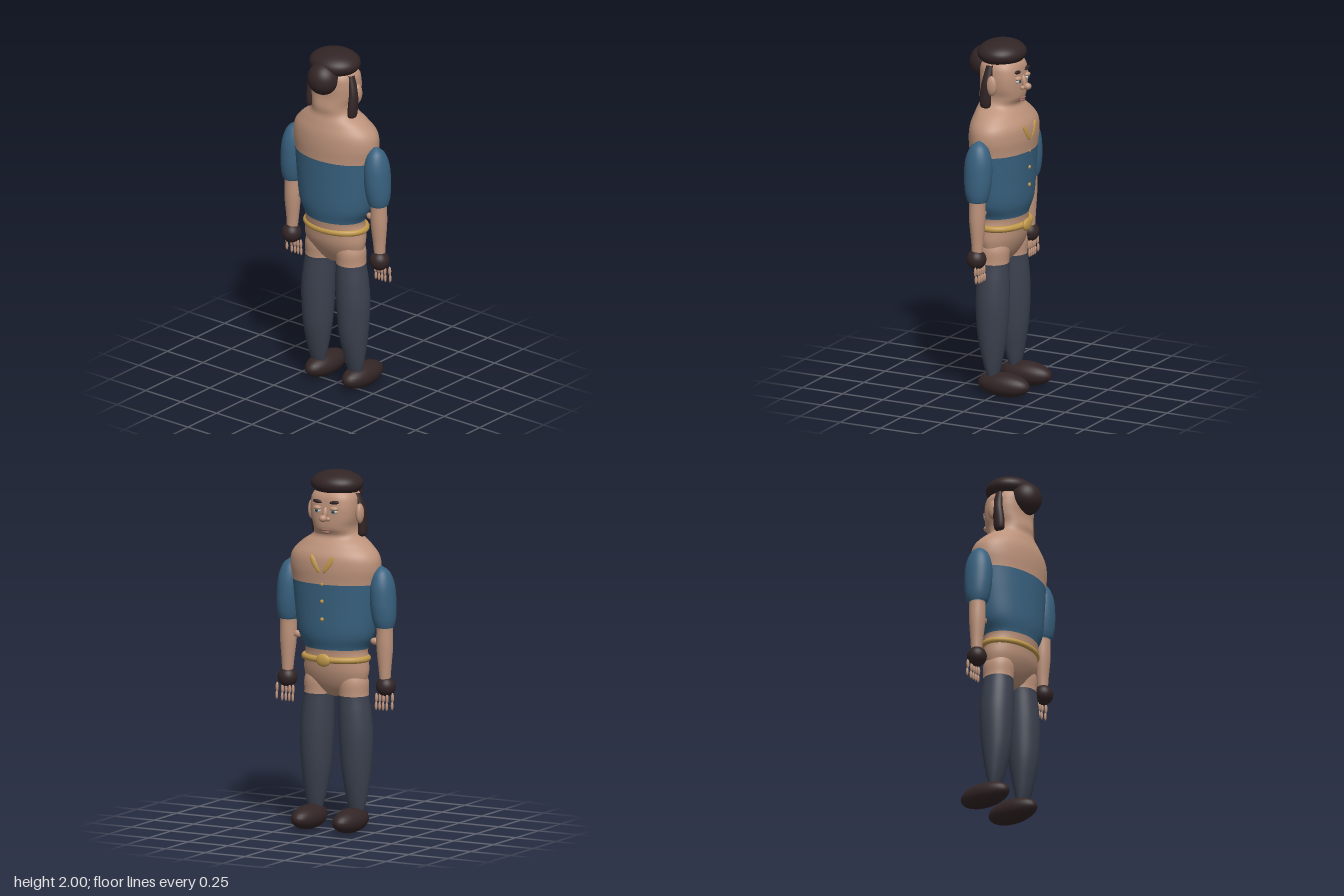
import * as THREE from 'three';

const mat = (name, color) => {
  const m = new THREE.MeshStandardMaterial({ color });
  m.name = name;
  return m;
};
const skin = mat('skin', 0xbd937b);
const shirt = mat('shirt blue', 0x38617f);
const trousers = mat('trouser grey', 0x3b414f);
const dark = mat('dark brown', 0x332526);
const gold = mat('gold', 0xc0984a);
const eyeWhite = mat('eye white', 0xd9d4cc);
const iris = mat('iris', 0x2f5d6b);
const lip = mat('lip', 0x96695c);

// Smooth body through oval rings [y, cx, cz, rx, rz, squareness], bottom to top.
// mats[i] colours the segment above ring i.
function loft(name, rings, mats, sides = 48, steps = 6) {
  const n = rings.length, pos = [], idx = [], rows = (n - 1) * steps + 1;
  const ring = (i) => rings[Math.min(Math.max(i, 0), n - 1)];
  const spline = (a, b, c, d, t) =>
    b + 0.5 * t * (c - a + t * (2 * a - 5 * b + 4 * c - d + t * (3 * (b - c) + d - a)));
  const bend = (v, p) => Math.sign(v) * Math.abs(v) ** (2 / p);
  for (let r = 0; r < rows; r++) {
    const s = Math.min(Math.floor(r / steps), n - 2), t = r / steps - s;
    const [y, cx, cz, rx, rz, p] = [0, 1, 2, 3, 4, 5].map((k) => {
      const v = (i) => ring(i)[k] ?? 2;
      return spline(v(s - 1), v(s), v(s + 1), v(s + 2), t);
    });
    for (let j = 0; j < sides; j++) {
      const a = (j / sides) * Math.PI * 2;
      pos.push(cx + Math.max(rx, 0.0005) * bend(Math.cos(a), p), y,
        cz + Math.max(rz, 0.0005) * bend(Math.sin(a), p));
    }
  }
  for (let r = 0; r < rows - 1; r++) {
    for (let j = 0; j < sides; j++) {
      const a = r * sides + j, b = r * sides + ((j + 1) % sides);
      idx.push(a, a + sides, b, b, a + sides, b + sides);
    }
  }
  const g = new THREE.BufferGeometry();
  g.setAttribute('position', new THREE.Float32BufferAttribute(pos, 3));
  g.setIndex(idx);
  g.computeVertexNormals();
  const list = [...new Set(mats)], size = sides * 6 * steps;
  mats.forEach((m, i) => g.addGroup(i * size, size, list.indexOf(m)));
  const mesh = new THREE.Mesh(g, list);
  mesh.name = name;
  return mesh;
}

// Ellipsoid with centre, radii and optional tilt
function blob(name, m, c, r, rot = [0, 0, 0], seg = 32) {
  const mesh = new THREE.Mesh(new THREE.SphereGeometry(1, seg, seg / 2), m);
  mesh.position.set(...c);
  mesh.scale.set(...r);
  mesh.rotation.set(...rot);
  mesh.name = name;
  return mesh;
}
const fill = (m, count) => new Array(count).fill(m);

function createBody() {
  const rings = [
    [0.738, 0, 0.018, 0.005, 0.005],
    [0.755, 0, 0.018, 0.07, 0.045],
    [0.81, 0, 0.018, 0.165, 0.085],
    [0.88, 0, 0.02, 0.193, 0.115],
    [0.95, 0, 0.02, 0.19, 0.126],
    [1.015, 0, 0.022, 0.184, 0.134],
    [1.1, 0, 0.018, 0.225, 0.153],
    [1.25, 0, 0.016, 0.246, 0.159],
    [1.385, 0, 0.014, 0.259, 0.163],
    [1.47, 0, 0.012, 0.272, 0.167],
    [1.54, 0, 0.013, 0.259, 0.16],
    [1.6, 0, 0.022, 0.203, 0.134],
    [1.645, 0, 0.029, 0.137, 0.113, 2.2],
    [1.69, 0, 0.02, 0.12, 0.123, 2.4],
    [1.75, 0, 0.013, 0.132, 0.119, 2.6],
    [1.82, 0, 0.014, 0.136, 0.118, 2.6],
    [1.88, 0, 0.018, 0.122, 0.108, 2.4],
    [1.94, 0, 0.022, 0.05, 0.05],
  ];
  return loft('torsoAndHead', rings, [...fill(skin, 5), ...fill(shirt, 3), ...fill(skin, 9)], 64);
}

function createLimbs(s) {
  const g = new THREE.Group();
  g.name = s > 0 ? 'leftLimbs' : 'rightLimbs';
  g.add(loft('leg', [
    [0.1, s * 0.13, 0.01, 0.04, 0.027],
    [0.19, s * 0.129, 0.014, 0.061, 0.052],
    [0.34, s * 0.126, 0.018, 0.083, 0.081],
    [0.52, s * 0.124, 0.018, 0.094, 0.093],
    [0.65, s * 0.117, 0.018, 0.091, 0.091],
    [0.755, s * 0.108, 0.018, 0.084, 0.084],
    [0.84, s * 0.103, 0.019, 0.086, 0.086],
    [0.93, s * 0.09, 0.02, 0.06, 0.06],
  ], [...fill(trousers, 5), ...fill(skin, 2)]));
  g.add(blob('shoe', dark, [s * 0.13, 0.068, -0.055], [0.075, 0.068, 0.157]));
  // Sleeve and forearm
  g.add(loft('arm', [
    [0.85, s * 0.308, 0.016, 0.03, 0.03],
    [0.92, s * 0.306, 0.016, 0.036, 0.034],
    [1.04, s * 0.304, 0.018, 0.047, 0.044],
    [1.147, s * 0.303, 0.018, 0.046, 0.046],
    [1.152, s * 0.302, 0.018, 0.053, 0.056],
    [1.2, s * 0.3, 0.018, 0.065, 0.07],
    [1.28, s * 0.295, 0.018, 0.071, 0.079],
    [1.38, s * 0.29, 0.018, 0.067, 0.075],
    [1.455, s * 0.285, 0.018, 0.045, 0.047],
    [1.49, s * 0.283, 0.018, 0.001, 0.001],
  ], [...fill(skin, 3), ...fill(shirt, 6)]));
  g.add(blob('elbowBump', skin, [s * 0.243, 1.065, 0.015], [0.026, 0.02, 0.018]));
  g.add(blob('glove', dark, [s * 0.31, 0.82, 0.02], [0.055, 0.056, 0.055]));
  // Knuckled fingers
  [0.263, 0.285, 0.307, 0.33, 0.364].forEach((x, i) => {
    const y = i === 4 ? 0.762 : 0.755;
    g.add(blob('fingerBase', skin, [s * x, y, -0.002], [0.009, 0.028, 0.009], [0, 0, 0], 12));
    g.add(blob('fingerTip', skin, [s * x, y - 0.044, -0.006], [0.008, 0.025, 0.008], [0, 0, 0], 12));
  });
  return g;
}

function createFaceSide(s) {
  const g = new THREE.Group();
  g.name = s > 0 ? 'leftFace' : 'rightFace';
  g.add(blob('ear', skin, [s * 0.15, 1.77, 0.012], [0.021, 0.056, 0.031]));
  g.add(blob('eyelid', skin, [s * 0.052, 1.803, -0.1], [0.025, 0.013, 0.02]));
  g.add(blob('eye', eyeWhite, [s * 0.052, 1.79, -0.1], [0.021, 0.016, 0.016]));
  g.add(blob('iris', iris, [s * 0.052, 1.79, -0.114], [0.01, 0.01, 0.005], [0, 0, 0], 16));
  g.add(blob('pupil', dark, [s * 0.052, 1.79, -0.118], [0.005, 0.005, 0.003], [0, 0, 0], 16));
  g.add(blob('eyebrow', dark, [s * 0.053, 1.838, -0.1], [0.03, 0.01, 0.011], [0, 0, s * 0.12]));
  g.add(blob('nostril', skin, [s * 0.02, 1.745, -0.113], [0.014, 0.012, 0.014], [0, 0, 0], 16));
  // Long lock of hair behind the ear
  g.add(loft('hairLock', [
    [1.635, s * 0.143, 0.052, 0.004, 0.006],
    [1.65, s * 0.144, 0.052, 0.022, 0.03],
    [1.71, s * 0.147, 0.05, 0.024, 0.033],
    [1.79, s * 0.145, 0.042, 0.022, 0.029],
    [1.88, s * 0.122, 0.035, 0.015, 0.02],
  ], fill(dark, 4), 24));
  // Collar leaf
  g.add(blob('collarLeaf', gold, [s * 0.04, 1.497, -0.148], [0.018, 0.058, 0.009], [0.16, s * 0.12, -s * 0.6]));
  return g;
}

function createBelt() {
  const g = new THREE.Group();
  g.name = 'belt';
  const pts = Array.from({ length: 32 }, (_, i) => {
    const a = (i / 32) * Math.PI * 2;
    return new THREE.Vector3(0.185 * Math.cos(a), 0.96, 0.013 + 0.128 * Math.sin(a));
  });
  const band = new THREE.Mesh(
    new THREE.TubeGeometry(new THREE.CatmullRomCurve3(pts, true), 96, 0.018, 14, true), gold);
  band.name = 'beltBand';
  g.add(band, blob('buckle', gold, [0, 0.96, -0.131], [0.044, 0.036, 0.017]));
  return g;
}

export function createModel() {
  const model = new THREE.Group();
  model.name = 'figure';
  model.add(createBody(), createBelt());
  for (const s of [1, -1]) model.add(createLimbs(s), createFaceSide(s));
  // Cap-like hair and bun
  model.add(blob('hairTop', dark, [0, 1.927, 0.025], [0.148, 0.073, 0.133], [0, 0, 0], 48));
  model.add(blob('hairBun', dark, [0, 1.86, 0.125], [0.09, 0.093, 0.09]));
  // Nose and mouth
  model.add(blob('noseBridge', skin, [0, 1.778, -0.108], [0.013, 0.035, 0.016], [0.2, 0, 0]));
  model.add(blob('noseTip', skin, [0, 1.75, -0.132], [0.022, 0.02, 0.023]));
  model.add(blob('upperLip', lip, [0, 1.683, -0.104], [0.03, 0.007, 0.012]));
  model.add(blob('lowerLip', lip, [0, 1.67, -0.102], [0.024, 0.008, 0.012]));
  // Shirt buttons
  for (const y of [1.385, 1.29, 1.19]) {
    model.add(blob('button', gold, [0, y, -0.145], [0.011, 0.011, 0.008], [0, 0, 0], 16));
  }
  return model;
}
